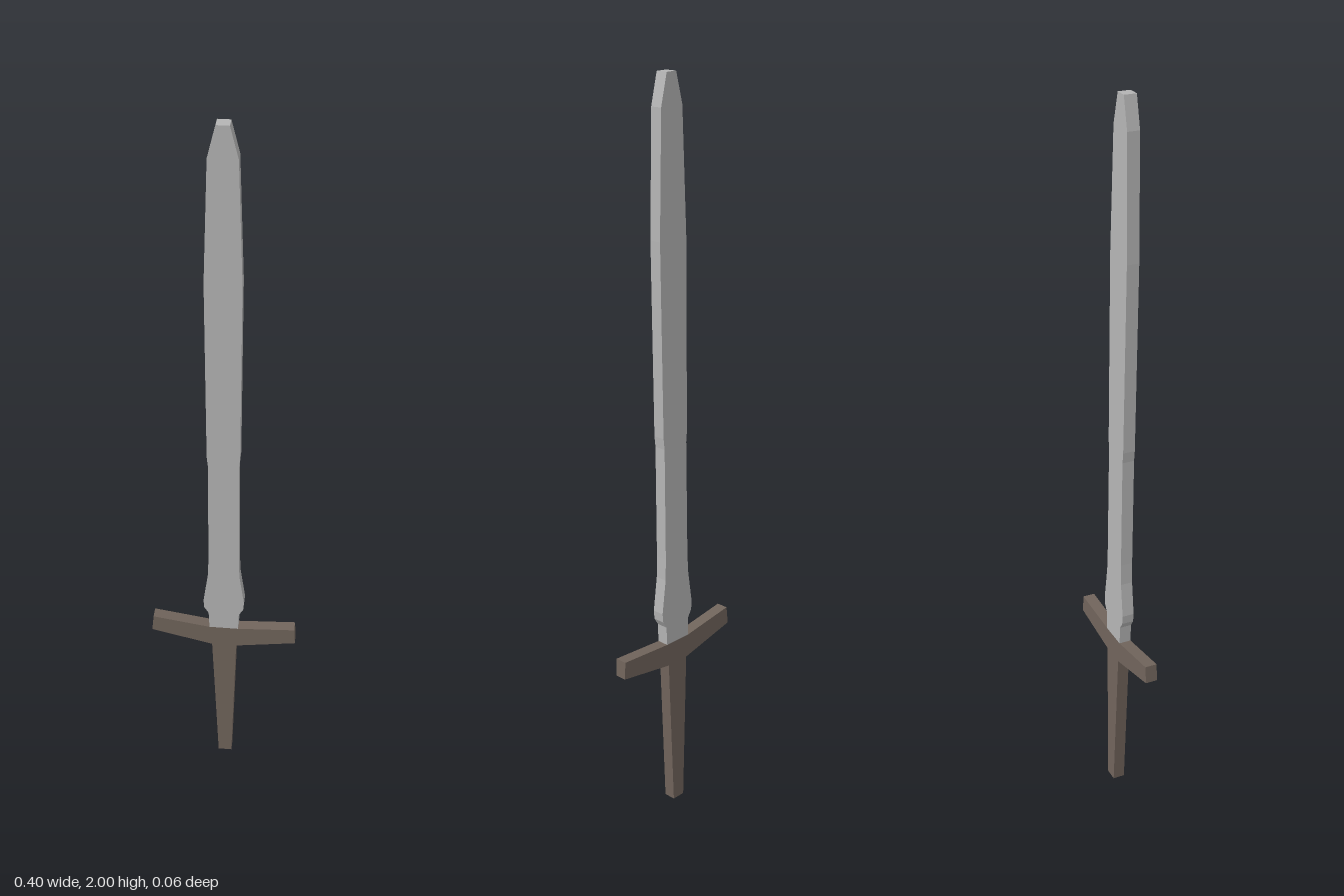
import * as THREE from 'three';

const THICKNESS = 0.033;

// Flat plate cut from an outline, centred on z = 0
function plate(name, points, material) {
  const shape = new THREE.Shape(points.map(([x, y]) => new THREE.Vector2(x, y)));
  const geometry = new THREE.ExtrudeGeometry(shape, { depth: THICKNESS, bevelEnabled: false });
  geometry.translate(0, 0, -THICKNESS / 2);
  const mesh = new THREE.Mesh(geometry, material);
  mesh.name = name;
  return mesh;
}

export function createModel() {
  const steel = new THREE.MeshStandardMaterial({ color: 0xb4b4b4, flatShading: true });
  steel.name = 'steel';
  const wood = new THREE.MeshStandardMaterial({ color: 0x70645b, flatShading: true });
  wood.name = 'brown wood';

  const sword = new THREE.Group();
  sword.name = 'sword';

  // Blade: half widths from the guard up to the blunt tip, mirrored
  const edge = [
    [0.04, 0.497], [0.042, 0.55], [0.054, 0.57], [0.056, 0.595], [0.043, 0.69], [0.041, 0.75],
    [0.04, 1.06], [0.043, 1.09], [0.046, 1.6], [0.036, 1.92], [0.016, 2.0],
  ];
  const mirrored = edge.map(([x, y]) => [-x, y]).reverse();
  sword.add(plate('blade', [...edge, ...mirrored], steel));

  // Crossguard with two slightly uneven raised arms
  sword.add(plate('crossguard', [
    [-0.033, 0.432], [0.035, 0.432], [0.2, 0.457], [0.197, 0.506],
    [0.04, 0.497], [-0.04, 0.497], [-0.197, 0.522], [-0.202, 0.473],
  ], wood));

  // Tapering grip
  sword.add(plate('grip', [
    [-0.016, 0], [0.022, 0], [0.035, 0.432], [-0.033, 0.432],
  ], wood));

  // The whole sword leans a little towards the front
  sword.rotation.x = 0.0155;
  sword.position.z = -0.0155;

  const model = new THREE.Group();
  model.name = 'model';
  model.add(sword);
  return model;
}
